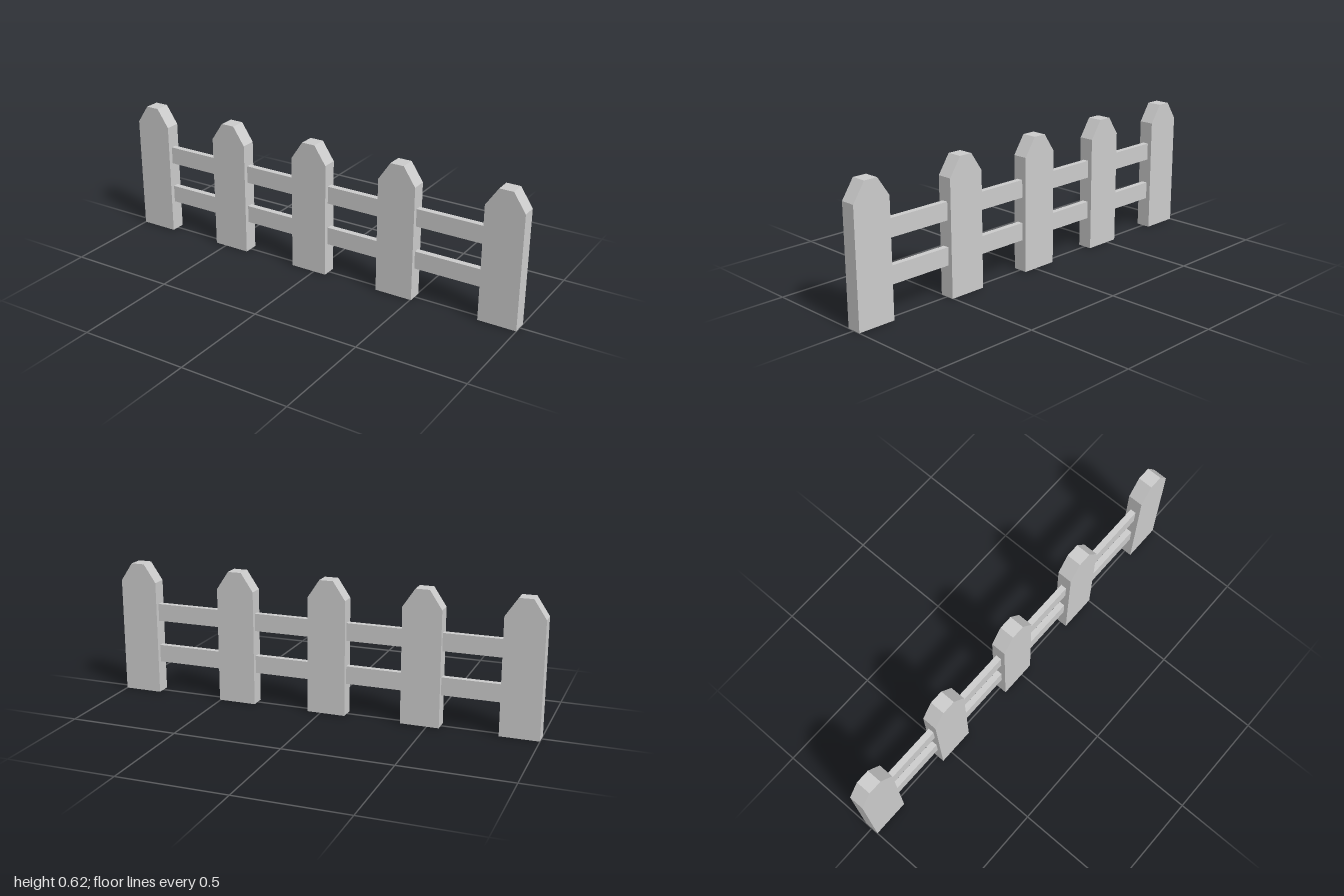
import * as THREE from 'three';

const DEPTH = 0.07;
const HALF_WIDTH = 0.089;

export function createModel() {
  const fence = new THREE.Group();
  fence.name = 'picketFence';
  const material = new THREE.MeshStandardMaterial({ color: 0xcccccc, flatShading: true });

  // Picket outline: straight board with a clipped, flat-topped point
  const outline = new THREE.Shape([
    [-HALF_WIDTH, 0], [HALF_WIDTH, 0], [HALF_WIDTH, 0.535],
    [0.032, 0.62], [-0.032, 0.62], [-HALF_WIDTH, 0.535],
  ].map(([x, y]) => new THREE.Vector2(x, y)));
  const picketGeometry = new THREE.ExtrudeGeometry(outline, { depth: DEPTH, bevelEnabled: false });
  picketGeometry.translate(0, 0, -DEPTH / 2);

  // Pickets, slightly unevenly spaced
  [-0.911, -0.467, -0.028, 0.415, 0.911].forEach((x, i) => {
    const picket = new THREE.Mesh(picketGeometry, material);
    picket.name = `picket${i + 1}`;
    picket.position.x = x;
    fence.add(picket);
  });

  // Two thin rails running through the pickets
  const railGeometry = new THREE.BoxGeometry(1.8, 0.082, 0.028);
  for (const [name, y] of [['lowerRail', 0.188], ['upperRail', 0.389]]) {
    const rail = new THREE.Mesh(railGeometry, material);
    rail.name = name;
    rail.position.y = y;
    fence.add(rail);
  }

  return fence;
}
